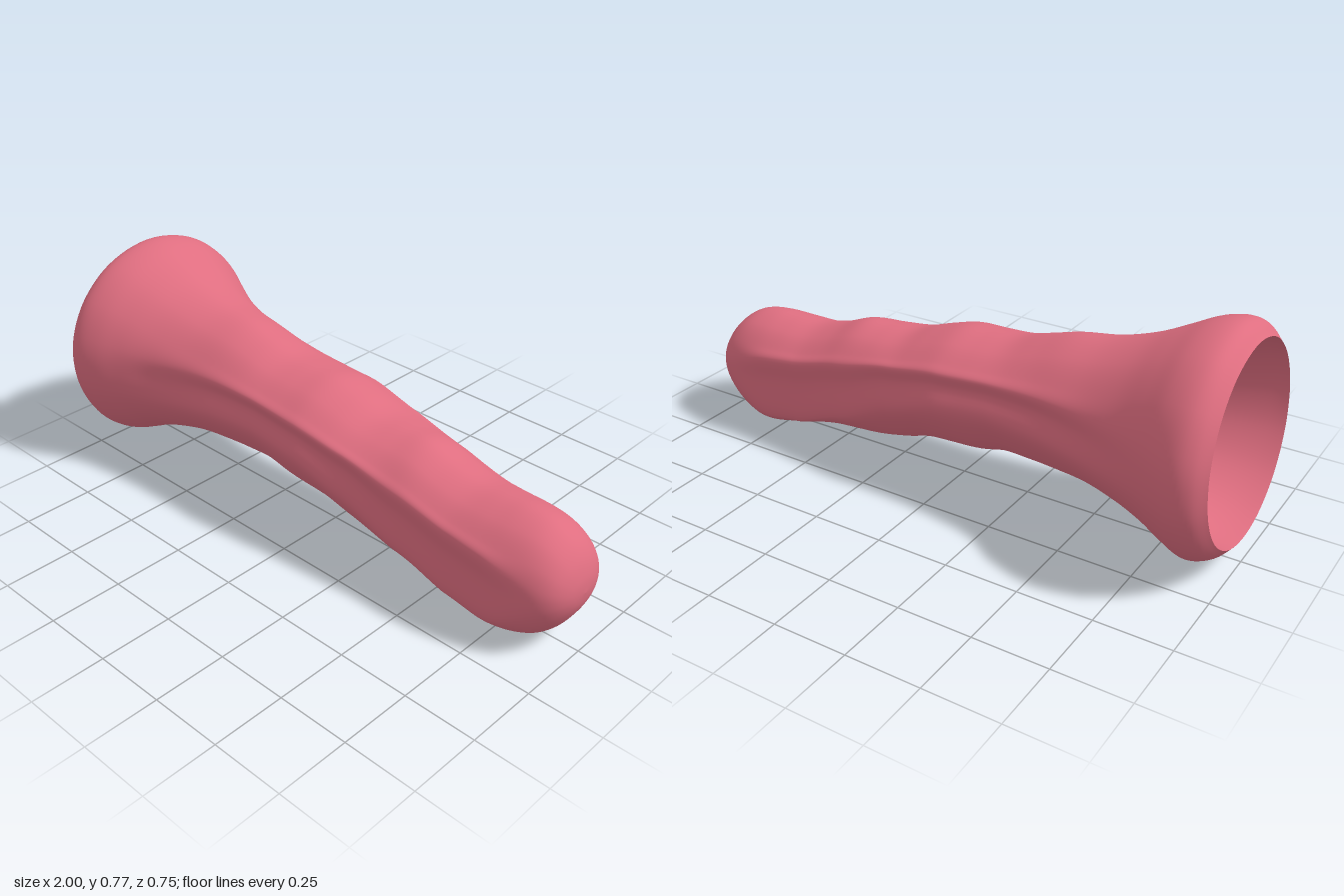
import * as THREE from 'three';

const { lerp, smoothstep, degToRad } = THREE.MathUtils;

// Stations along the grip: [x, top y, bottom y, half width z]
const OUTER = [
  [-1, 0.73, 0.09, 0.325], [-0.96, 0.762, 0.05, 0.36], [-0.9, 0.775, 0.03, 0.375],
  [-0.83, 0.76, 0.058, 0.355], [-0.75, 0.72, 0.095, 0.315], [-0.65, 0.672, 0.124, 0.27],
  [-0.53, 0.635, 0.146, 0.235], [-0.4, 0.615, 0.15, 0.215], [-0.3, 0.586, 0.153, 0.206],
  [-0.2, 0.556, 0.154, 0.202], [-0.1, 0.55, 0.131, 0.203], [0, 0.548, 0.125, 0.205],
  [0.1, 0.52, 0.119, 0.198], [0.2, 0.486, 0.09, 0.19], [0.3, 0.48, 0.071, 0.184],
  [0.4, 0.477, 0.07, 0.18], [0.5, 0.44, 0.068, 0.176], [0.6, 0.416, 0.05, 0.176],
  [0.7, 0.418, 0.017, 0.179], [0.79, 0.421, 0.001, 0.177], [0.87, 0.408, 0.021, 0.165],
  [0.93, 0.373, 0.068, 0.145], [0.97, 0.325, 0.125, 0.112], [0.993, 0.27, 0.175, 0.062],
  [1, 0.222, 0.222, 0],
];
// Hollow inside, running from the rim towards the closed end
const INNER = [
  [-1, 0.73, 0.09, 0.325], [-0.92, 0.715, 0.105, 0.305], [-0.75, 0.655, 0.15, 0.25],
  [-0.5, 0.59, 0.19, 0.185], [-0.1, 0.5, 0.185, 0.15], [0.4, 0.41, 0.13, 0.13],
  [0.75, 0.36, 0.09, 0.12], [0.88, 0.31, 0.14, 0.08], [0.91, 0.225, 0.225, 0],
];
// Heights of the two ridges on each side: [x, y]
const SHOULDER = [[-1, 0.48], [-0.6, 0.475], [-0.2, 0.468], [0, 0.455], [0.2, 0.42],
  [0.4, 0.37], [0.6, 0.325], [0.8, 0.3], [1, 0.29]];
const LOWER = [[-1, 0.27], [-0.7, 0.31], [-0.4, 0.345], [-0.2, 0.353], [0, 0.335],
  [0.2, 0.27], [0.4, 0.175], [0.6, 0.1], [0.8, 0.075], [1, 0.09]];

function spline(a, b, c, d, t) {
  return b + 0.5 * t * (c - a + t * (2 * a - 5 * b + 4 * c - d + t * (3 * (b - c) + d - a)));
}

function refine(rows, steps) {
  const out = [];
  const row = (i) => rows[Math.min(Math.max(i, 0), rows.length - 1)];
  for (let i = 0; i < rows.length - 1; i++) {
    for (let s = 0; s < steps; s++) {
      out.push(row(i).map((v, k) =>
        spline(row(i - 1)[k], v, row(i + 1)[k], row(i + 2)[k], s / steps)));
    }
  }
  out.push(rows[rows.length - 1]);
  return out;
}

function heightAt(table, x) {
  let i = 0;
  while (i < table.length - 2 && x > table[i + 1][0]) i++;
  const [x0, y0] = table[i], [x1, y1] = table[i + 1];
  return lerp(y0, y1, smoothstep(x, x0, x1) * 0.3 + 0.7 * (x - x0) / (x1 - x0));
}

const ANGLES = [0, 28, 52, 72, 88, 108, 132, 157, 180].map(degToRad);

// Closed cross-section: an ellipse that blends into the ridged grip shape
function section([x, top, bottom, width], ridged, sides) {
  const shoulder = heightAt(SHOULDER, x), lower = heightAt(LOWER, x);
  const ridge = lerp(1, 0.9, smoothstep(x, 0.1, 0.7));
  const arch = (f) => [f, top - (top - shoulder) * f * f];
  const grip = [
    [0, top], arch(0.5), arch(0.82), arch(0.97),
    [0.93, lerp(shoulder, lower, 0.35)], [ridge, lower],
    [0.78 * ridge, lerp(bottom, lower, 0.56)], [0.4 * ridge, lerp(bottom, lower, 0.16)],
    [0, bottom],
  ];
  const k = ridged ? smoothstep(x, -0.85, -0.3) * (1 - smoothstep(x, 0.72, 0.94)) : 0;
  const half = ANGLES.map((a, i) => [
    width * lerp(Math.sin(a), grip[i][0], k),
    lerp((top + bottom) / 2 + Math.cos(a) * (top - bottom) / 2, grip[i][1], k),
  ]);
  const mirrored = half.slice(1, -1).reverse().map(([z, y]) => [-z, y]);
  // the mouth is cut at a slight slant
  const slant = (y) => 0.02 * (y - 0.09) / 0.64 * (1 - smoothstep(x, -1, -0.9));
  const points = [...half, ...mirrored].map(([z, y]) => new THREE.Vector3(x + slant(y), y, z));
  if (width === 0) return Array(sides).fill(points[0]);
  return new THREE.CatmullRomCurve3(points, true).getPoints(sides).slice(0, sides);
}

function loft(rows, ridged, inward) {
  const sides = 96, position = [], index = [];
  const rings = refine(rows, 5).map((r) => section(r, ridged, sides));
  rings.forEach((ring) => ring.forEach((p) => position.push(p.x, p.y, p.z)));
  for (let i = 0; i < rings.length - 1; i++) {
    for (let j = 0; j < sides; j++) {
      const a = i * sides + j, b = i * sides + (j + 1) % sides;
      const c = a + sides, d = b + sides;
      if (inward) index.push(a, c, b, b, c, d);
      else index.push(a, b, c, b, d, c);
    }
  }
  const geometry = new THREE.BufferGeometry();
  geometry.setAttribute('position', new THREE.Float32BufferAttribute(position, 3));
  geometry.setIndex(index);
  geometry.computeVertexNormals();
  return geometry;
}

export function createModel() {
  const rubber = new THREE.MeshStandardMaterial({ color: 0xdf6e80 });
  rubber.name = 'pinkRubber';
  const group = new THREE.Group();
  group.name = 'handleGrip';

  // Outer sleeve with flared mouth, finger waves and rounded end
  const sleeve = new THREE.Mesh(loft(OUTER, true, false), rubber);
  sleeve.name = 'outerSleeve';

  // Tapered bore
  const bore = new THREE.Mesh(loft(INNER, false, true), rubber);
  bore.name = 'innerBore';

  group.add(sleeve, bore);
  return group;
}
